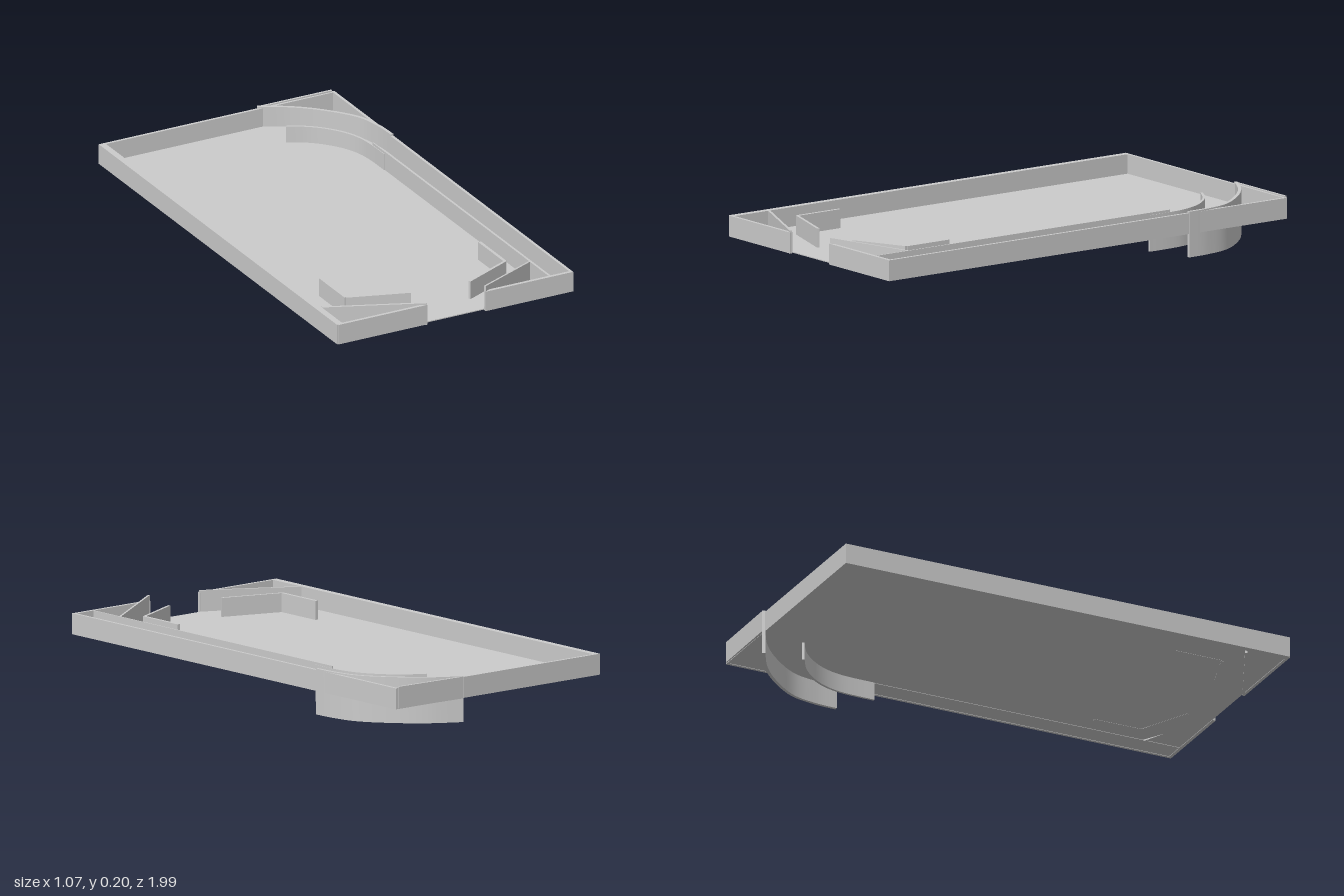
import * as THREE from 'three';
import { toCreasedNormals } from 'three/addons/utils/BufferGeometryUtils.js';

const FLOOR = 0.097, TOP = 0.18;

export function createModel() {
  const group = new THREE.Group();
  const mat = new THREE.MeshStandardMaterial({ color: 0xcccccc, side: THREE.DoubleSide });

  function add(name, geometry) {
    const mesh = new THREE.Mesh(geometry, mat);
    mesh.name = name;
    group.add(mesh);
    return mesh;
  }

  // Axis-aligned box given by its limits
  function slab(name, x0, x1, y0, y1, z0, z1) {
    const mesh = add(name, new THREE.BoxGeometry(x1 - x0, y1 - y0, z1 - z0));
    mesh.position.set((x0 + x1) / 2, (y0 + y1) / 2, (z0 + z1) / 2);
    return mesh;
  }

  // Straight upright plate between two plan points, with a different top height at each end
  function plate(name, [xa, za], [xb, zb], thick, height, topA, topB) {
    const length = Math.hypot(xb - xa, zb - za);
    const geo = new THREE.BoxGeometry(length, height, thick);
    const p = geo.attributes.position;
    for (let i = 0; i < p.count; i++) {
      const t = p.getX(i) / length + 0.5;
      p.setY(i, p.getY(i) - height / 2 + topA + (topB - topA) * t);
    }
    geo.computeVertexNormals();
    const mesh = add(name, geo);
    mesh.position.set((xa + xb) / 2, 0, (za + zb) / 2);
    mesh.rotation.y = -Math.atan2(zb - za, xb - xa);
    return mesh;
  }

  // Curved upright strip following plan points [x, z]
  function curvedStrip(name, points, thick, y0, y1) {
    const curve = new THREE.SplineCurve(points.map(([x, z]) => new THREE.Vector2(x, -z)));
    const sides = [[], []];
    const steps = 40;
    for (let i = 0; i <= steps; i++) {
      const c = curve.getPoint(i / steps), t = curve.getTangent(i / steps);
      const n = new THREE.Vector2(-t.y, t.x).multiplyScalar(thick / 2);
      sides[0].push(c.clone().add(n));
      sides[1].unshift(c.clone().sub(n));
    }
    let geo = new THREE.ExtrudeGeometry(new THREE.Shape([...sides[0], ...sides[1]]), {
      depth: y1 - y0, bevelEnabled: false,
    });
    geo.rotateX(-Math.PI / 2);
    geo.translate(0, y0, 0);
    geo = toCreasedNormals(geo, 0.6);
    return add(name, geo);
  }

  // Tray floor and surrounding walls
  slab('floor', -0.53, 0.525, FLOOR, FLOOR + 0.004, -0.985, 0.977);
  slab('rightSideWall', -0.535, -0.508, 0.095, TOP, -0.985, 0.985);
  slab('leftSideWall', 0.52, 0.532, 0.095, TOP, -0.985, 0.99);
  slab('backWall', -0.535, 0.532, 0.095, TOP, -0.987, -0.975);
  slab('frontWallRight', -0.53, -0.127, 0.095, TOP, 0.976, 0.989);
  slab('frontWallLeft', 0.135, 0.53, 0.095, TOP, 0.976, 0.99);
  plate('backCornerPlate', [0.19, -0.992], [0.52, -0.987], 0.01, 0.088, 0.184, 0.186);

  // Narrow lane divider and the two curved guides that drop through the floor
  slab('laneWall', 0.427, 0.432, 0.095, TOP, -0.48, 0.977);
  curvedStrip('outerCurve', [
    [0.185, -0.992], [0.3, -0.925], [0.4, -0.835], [0.49, -0.715], [0.521, -0.6], [0.527, -0.5],
  ], 0.013, 0, 0.186);
  curvedStrip('innerCurve', [
    [0.213, -0.802], [0.29, -0.755], [0.35, -0.695], [0.395, -0.625],
    [0.42, -0.55], [0.428, -0.47], [0.429, -0.38],
  ], 0.01, 0.022, 0.17);

  // Slightly tilted diagonals across the front corners
  plate('frontDiagonalRight', [-0.508, 0.805], [-0.128, 0.983], 0.01, 0.094, 0.18, 0.187);
  plate('frontDiagonalLeft', [0.135, 0.984], [0.428, 0.818], 0.008, 0.09, 0.203, 0.18);

  // Bent guides in front: a straight leg followed by an angled leg
  const guides = [
    { side: 'Right', bend: [-0.375, 0.765], end: [-0.127, 0.847] },
    { side: 'Left', bend: [0.346, 0.765], end: [0.13, 0.866] },
  ];
  for (const { side, bend, end } of guides) {
    plate('guideStraight' + side, [bend[0], 0.555], bend, 0.013, 0.082, 0.178, 0.178);
    plate('guideAngled' + side, bend, end, 0.011, 0.082, 0.178, 0.178);
  }

  return group;
}
